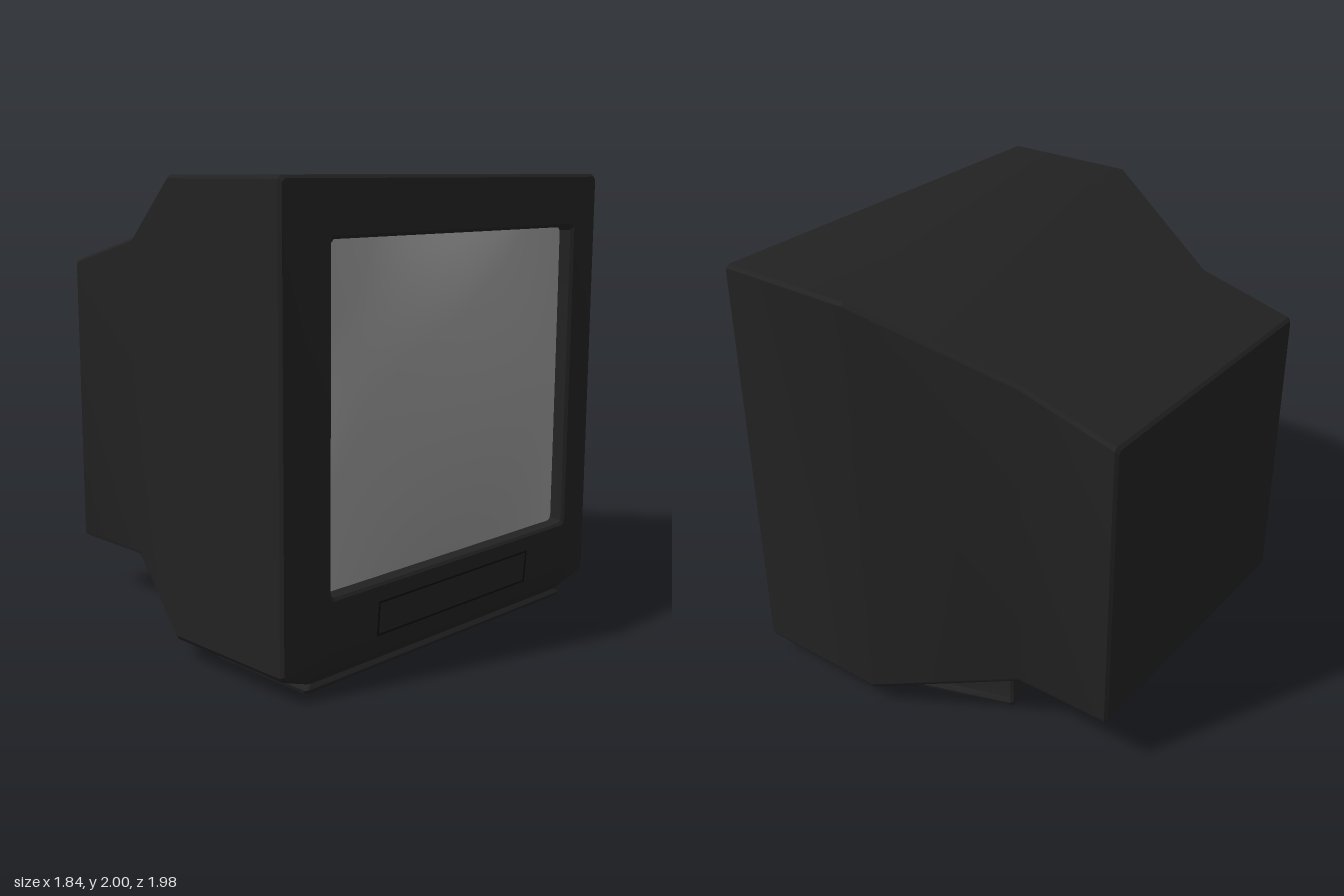
import * as THREE from 'three';
import { toCreasedNormals } from 'three/addons/utils/BufferGeometryUtils.js';

const V = (x, y, z) => new THREE.Vector3(x, y, z);
const paint = (color) => new THREE.MeshStandardMaterial({ color, side: THREE.DoubleSide });

// Skin a series of equal-length rings, with optional flat caps
function loft(rings, capStart, capEnd) {
  const pos = [];
  const tri = (...pts) => pts.forEach((p) => pos.push(p.x, p.y, p.z));
  const n = rings[0].length;
  for (let i = 0; i < rings.length - 1; i++) {
    for (let j = 0; j < n; j++) {
      const k = (j + 1) % n;
      const a = rings[i][j], b = rings[i][k], c = rings[i + 1][k], d = rings[i + 1][j];
      tri(a, b, c);
      tri(a, c, d);
    }
  }
  const cap = (ring, flip) => {
    const mid = ring.reduce((s, p) => s.add(p), V(0, 0, 0)).divideScalar(n);
    ring.forEach((p, j) => {
      const q = ring[(j + 1) % n];
      if (flip) tri(mid, q, p); else tri(mid, p, q);
    });
  };
  if (capStart) cap(rings[0], true);
  if (capEnd) cap(rings[rings.length - 1], false);
  const g = new THREE.BufferGeometry();
  g.setAttribute('position', new THREE.Float32BufferAttribute(pos, 3));
  return toCreasedNormals(g, 0.45);
}

// Cut each corner of a ring into two points
function bevel(pts, r) {
  const out = [];
  pts.forEach((p, i) => {
    for (const q of [pts[(i + pts.length - 1) % pts.length], pts[(i + 1) % pts.length]]) {
      out.push(p.clone().lerp(q, Math.min(r / p.distanceTo(q), 0.3)));
    }
  });
  return out;
}

// Cabinet section: half width, top, lower side corner (y), bottom corner (z, y), x of the bottom
function section(x, w, top, sideY, botZ, botY, botX = x, r = 0.014) {
  return bevel([
    V(x, top, -w), V(x, top, w), V(x, sideY, w),
    V(botX, botY, botZ), V(botX, botY, -botZ), V(x, sideY, -w),
  ], r);
}

// Pedestal outline at a given height: front x, back x, half widths
function pedestalRing(y, front, back, w, backW) {
  return bevel([
    V(front, y, w), V(front, y, -w), V(0.26, y, -w),
    V(back, y, -backW), V(back, y, backW), V(0.26, y, w),
  ], 0.01);
}

export function createModel() {
  const group = new THREE.Group();
  const black = paint(0x222222);
  const add = (name, geometry, material) => {
    const mesh = new THREE.Mesh(geometry, material);
    mesh.name = name;
    group.add(mesh);
    return mesh;
  };

  // Cabinet, tapering to the rear
  add('cabinet', loft([
    section(-0.92, 0.703, 1.59, 0.28, 0.69, 0.272),
    section(-0.908, 0.715, 1.604, 0.27, 0.70, 0.26),
    section(-0.47, 0.715, 1.722, 0.27, 0.70, 0.26),
    section(0.16, 0.992, 2.0, 0.10, 0.82, 0.035),
    section(0.795, 0.992, 2.0, 0.10, 0.82, 0.035, 0.775),
  ], true, false), black);

  // Front bezel with the recessed screen opening
  add('bezel', loft([
    section(0.795, 0.992, 2.0, 0.10, 0.82, 0.035, 0.775),
    section(0.81, 0.983, 1.988, 0.108, 0.815, 0.045, 0.785),
    section(0.83, 0.88, 1.885, 0.2, 0.78, 0.16, 0.829),
    section(0.847, 0.775, 1.78, 0.39, 0.76, 0.375, 0.845),
    section(0.835, 0.762, 1.767, 0.4, 0.748, 0.386, 0.835),
    section(0.77, 0.757, 1.762, 0.405, 0.743, 0.39, 0.77),
  ], false, false), black);

  // Bulging screen glass
  const glass = new THREE.PlaneGeometry(1.52, 1.38, 32, 32);
  glass.rotateY(Math.PI / 2);
  const p = glass.attributes.position;
  for (let i = 0; i < p.count; i++) {
    const u = p.getZ(i) / 0.76, v = p.getY(i) / 0.69;
    p.setXYZ(i, 0.78 + 0.142 * (1 - u * u) * (1 - v * v), p.getY(i) + 1.076, p.getZ(i));
  }
  glass.computeVertexNormals();
  add('screen', glass, paint(0x999999));

  // Outline of the control flap under the screen
  const rect = (shape, w, h) => shape.moveTo(-w, -h).lineTo(w, -h).lineTo(w, h).lineTo(-w, h).closePath();
  const frame = rect(new THREE.Shape(), 0.492, 0.075);
  frame.holes.push(rect(new THREE.Path(), 0.484, 0.067));
  const seam = new THREE.ExtrudeGeometry(frame, { depth: 0.008, bevelEnabled: false });
  seam.rotateX(0.07).rotateY(Math.PI / 2);
  seam.translate(0.8295, 0.235, 0);
  add('controlFlapSeam', seam, paint(0x0c0c0c));

  // Pedestal with a lip round the foot
  add('pedestal', loft([
    pedestalRing(0, 0.78, -0.36, 0.84, 0.625),
    pedestalRing(0.016, 0.785, -0.36, 0.845, 0.63),
    pedestalRing(0.036, 0.77, -0.355, 0.815, 0.62),
    pedestalRing(0.225, 0.76, -0.338, 0.8, 0.6),
  ], true, true), black);

  return group;
}
